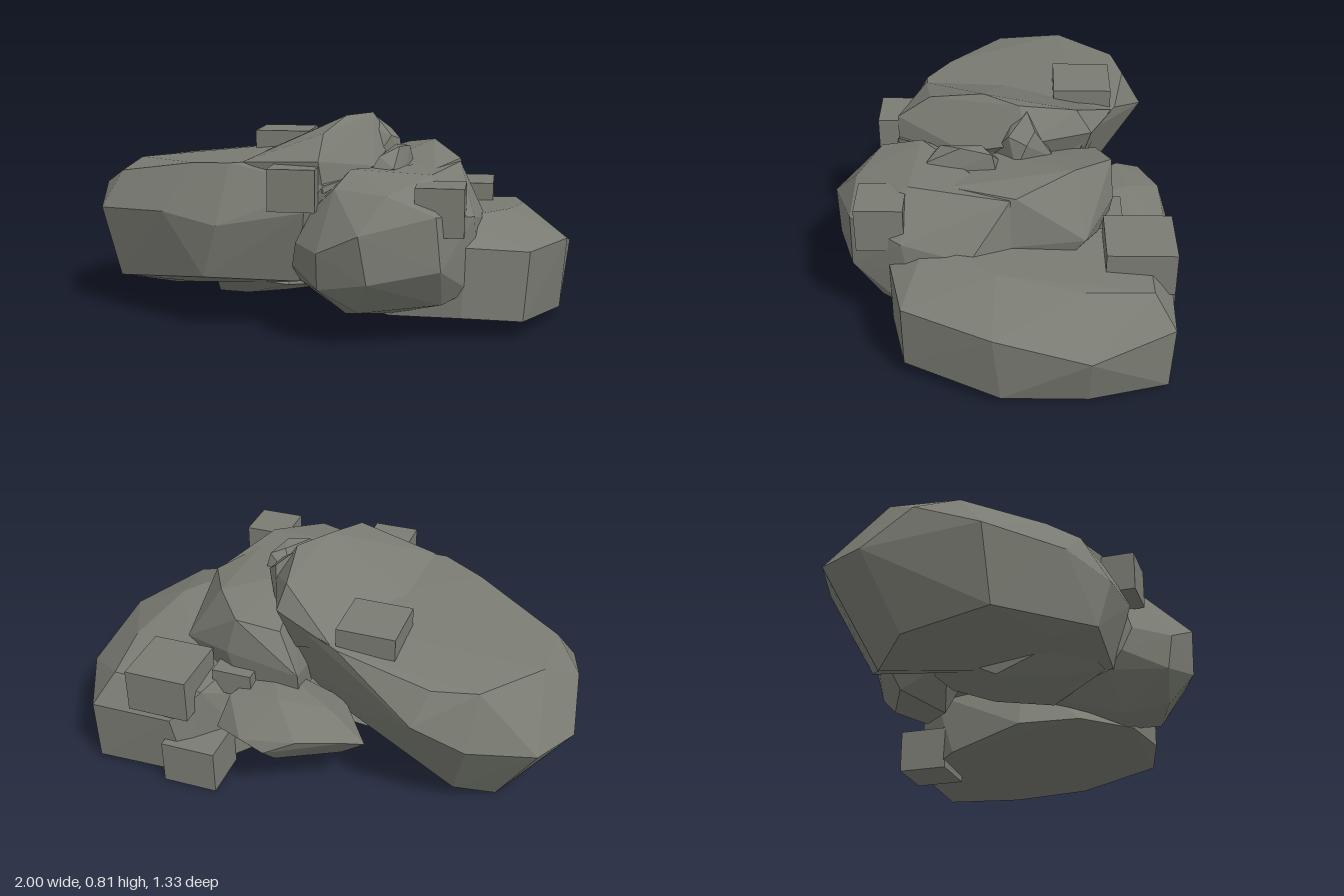
import * as THREE from 'three';
import { ConvexGeometry } from 'three/addons/geometries/ConvexGeometry.js';

const stone = new THREE.MeshStandardMaterial({ color: 0x7a7c73 });
stone.name = 'greyStone';

// A faceted boulder wrapped around a few corner points.
function boulder(name, corners) {
  const geometry = new ConvexGeometry(corners.map((c) => new THREE.Vector3(...c)));
  const mesh = new THREE.Mesh(geometry, stone);
  mesh.name = name;
  return mesh;
}

// A square block given by its lowest and highest corners.
function block(name, [x0, y0, z0], [x1, y1, z1]) {
  const mesh = new THREE.Mesh(new THREE.BoxGeometry(x1 - x0, y1 - y0, z1 - z0), stone);
  mesh.position.set((x0 + x1) / 2, (y0 + y1) / 2, (z0 + z1) / 2);
  mesh.name = name;
  return mesh;
}

export function createModel() {
  const model = new THREE.Group();
  model.name = 'rockCluster';

  // Large tilted slab on the model's right
  model.add(boulder('largeSlab', [
    // upper rim
    [-0.97, 0.49, -0.1], [-0.86, 0.58, -0.24], [-0.67, 0.58, -0.47], [-0.5, 0.58, -0.51],
    [-0.12, 0.63, -0.45], [0.15, 0.68, -0.33], [0.2, 0.68, 0], [0.03, 0.67, 0.3],
    [-0.33, 0.645, 0.33], [-0.5, 0.63, 0.24], [-0.86, 0.56, 0.03],
    // waist
    [-1, 0.34, -0.28], [-0.9, 0.35, -0.47], [-0.65, 0.37, -0.56], [-0.45, 0.46, -0.59],
    [0.21, 0.6, 0.15], [0.05, 0.58, 0.42], [-0.02, 0.48, 0.45], [-0.36, 0.42, 0.45],
    [-0.6, 0.45, 0.34], [-0.92, 0.42, 0.13],
    // underside
    [-0.85, 0.07, -0.18], [-0.73, 0, -0.31], [-0.58, 0.06, -0.4], [-0.84, 0.14, 0.14],
    [-0.5, 0.15, 0.25], [-0.42, 0.21, 0.41], [-0.05, 0.2, 0.38], [-0.1, 0.25, -0.3],
    [0.15, 0.35, -0.2],
  ]));
  // Raised end of the slab
  model.add(boulder('slabPeak', [
    [0.18, 0.81, -0.06], [0.09, 0.81, 0.08], [0.03, 0.76, 0.29], [0.14, 0.77, -0.28],
    [0.03, 0.67, 0.42], [-0.28, 0.65, 0.33], [-0.28, 0.64, 0], [-0.1, 0.63, -0.44],
    [0.16, 0.68, -0.34], [0.26, 0.69, -0.1], [0.21, 0.62, 0.15], [0.05, 0.55, 0.42],
    [0.1, 0.5, -0.3],
  ]));
  model.add(boulder('slabKeel', [
    [-0.46, 0.14, -0.22], [-0.5, 0.1, -0.08], [-0.45, 0.06, 0.03], [-0.3, 0.09, 0.16],
    [-0.12, 0.13, 0.24], [0.08, 0.13, 0.1], [-0.1, 0.18, 0.36], [-0.4, 0.2, 0.3],
    [0.04, 0.16, -0.14], [-0.1, 0.17, -0.27], [-0.3, 0.15, -0.27], [-0.2, 0.4, 0], [0.1, 0.4, 0],
  ]));

  // Broad low boulder on the model's left
  model.add(boulder('lowBoulder', [
    [0.55, 0.45, 0.28], [0.74, 0.44, 0.02], [0.8, 0.41, -0.3], [0.77, 0.39, -0.55],
    [0.4, 0.38, -0.55], [0.3, 0.4, -0.1], [0.58, 0.36, 0.42], [0.82, 0.34, 0.36],
    [0.97, 0.33, 0.03], [1, 0.25, -0.32], [0.84, 0.27, -0.63], [0.5, 0.28, -0.64],
    [0.57, 0.09, 0.42], [0.8, 0.07, 0.36], [0.95, 0.04, 0], [0.93, 0.02, -0.32],
    [0.84, 0.01, -0.62], [0.45, 0.02, -0.62], [0.25, 0.04, -0.4], [0.08, 0.07, -0.05],
    [0.1, 0.07, 0.2], [0.3, 0.08, 0.38],
  ]));

  // Rounded boulder at the front
  model.add(boulder('frontBoulder', [
    [0.21, 0.44, 0.66], [0.24, 0.26, 0.65], [0.05, 0.36, 0.6], [0.05, 0.22, 0.58],
    [-0.05, 0.37, 0.46], [-0.07, 0.27, 0.42], [-0.05, 0.2, 0.36], [0.01, 0.49, 0.42],
    [0.1, 0.58, 0.48], [0.3, 0.57, 0.56], [0.14, 0.63, 0.32], [0.45, 0.62, 0.35],
    [0.48, 0.5, 0.57], [0.5, 0.3, 0.57], [0.61, 0.47, 0.37], [0.62, 0.35, 0.35],
    [0.65, 0.42, 0.12], [0.6, 0.19, 0.38], [0.5, 0.15, 0.46], [0.2, 0.13, 0.55],
    [0.13, 0.08, 0.38], [0.3, 0.08, 0.35], [0.05, 0.15, 0.1], [0.1, 0.5, 0.1],
    [0.5, 0.2, 0.05], [0.54, 0.62, -0.03], [0.56, 0.43, -0.05],
  ]));

  // Peaked boulder in the middle
  model.add(boulder('middleBoulder', [
    [0.42, 0.68, -0.27], [0.3, 0.65, -0.41], [0.54, 0.63, -0.05], [0.56, 0.46, -0.31],
    [0.34, 0.5, -0.42], [0.57, 0.42, 0.08], [0.45, 0.62, 0.2], [0.22, 0.62, 0.05],
    [0.14, 0.6, -0.36], [0.05, 0.45, -0.42], [0.05, 0.3, -0.4], [0.3, 0.34, -0.4],
    [0.53, 0.3, -0.2], [0.1, 0.3, 0.1], [0.5, 0.3, 0.15],
  ]));

  // Small lobe low at the back
  model.add(boulder('backBoulder', [
    [-0.25, 0.26, -0.5], [-0.18, 0.3, -0.57], [-0.02, 0.31, -0.64], [0.1, 0.25, -0.665],
    [0.2, 0.28, -0.65], [0.33, 0.25, -0.57], [0.3, 0.36, -0.5], [0.1, 0.39, -0.5],
    [-0.1, 0.37, -0.47], [-0.15, 0.18, -0.48], [0.08, 0.18, -0.6], [0.25, 0.18, -0.52],
    [0.1, 0.16, -0.38], [0.2, 0.4, -0.3], [-0.1, 0.3, -0.3],
  ]));

  // Loose chips in the cleft between the boulders
  model.add(boulder('cleftChip', [
    [0.29, 0.7, 0.08], [0.34, 0.69, 0.04], [0.31, 0.7, 0.16], [0.24, 0.67, 0.24],
    [0.3, 0.63, 0.29], [0.2, 0.6, 0.28], [0.36, 0.6, 0.02], [0.22, 0.58, 0], [0.33, 0.58, 0.25],
  ]));
  model.add(boulder('ridgeChip', [
    [0.19, 0.79, -0.09], [0.25, 0.74, -0.12], [0.29, 0.7, -0.09], [0.26, 0.72, -0.02],
    [0.1, 0.78, -0.05], [0.22, 0.6, -0.2], [0.3, 0.6, -0.05], [0.18, 0.6, 0.05],
  ]));

  // Square blocks set into the boulders
  model.add(
    block('slabFrontBlock', [-0.15, 0.49, 0.36], [0.03, 0.65, 0.5]),
    block('slabTopBlock', [-0.34, 0.62, -0.43], [-0.11, 0.71, -0.2]),
    block('frontBlock', [0.4, 0.42, 0.36], [0.58, 0.6, 0.54]),
    block('lowTopBlock', [0.42, 0.3, -0.64], [0.67, 0.475, -0.38]),
    block('lowBackBlock', [0.31, 0, -0.665], [0.53, 0.18, -0.46]),
    block('cleftBlock', [0.23, 0.33, -0.46], [0.39, 0.43, -0.32]),
  );
  return model;
}
